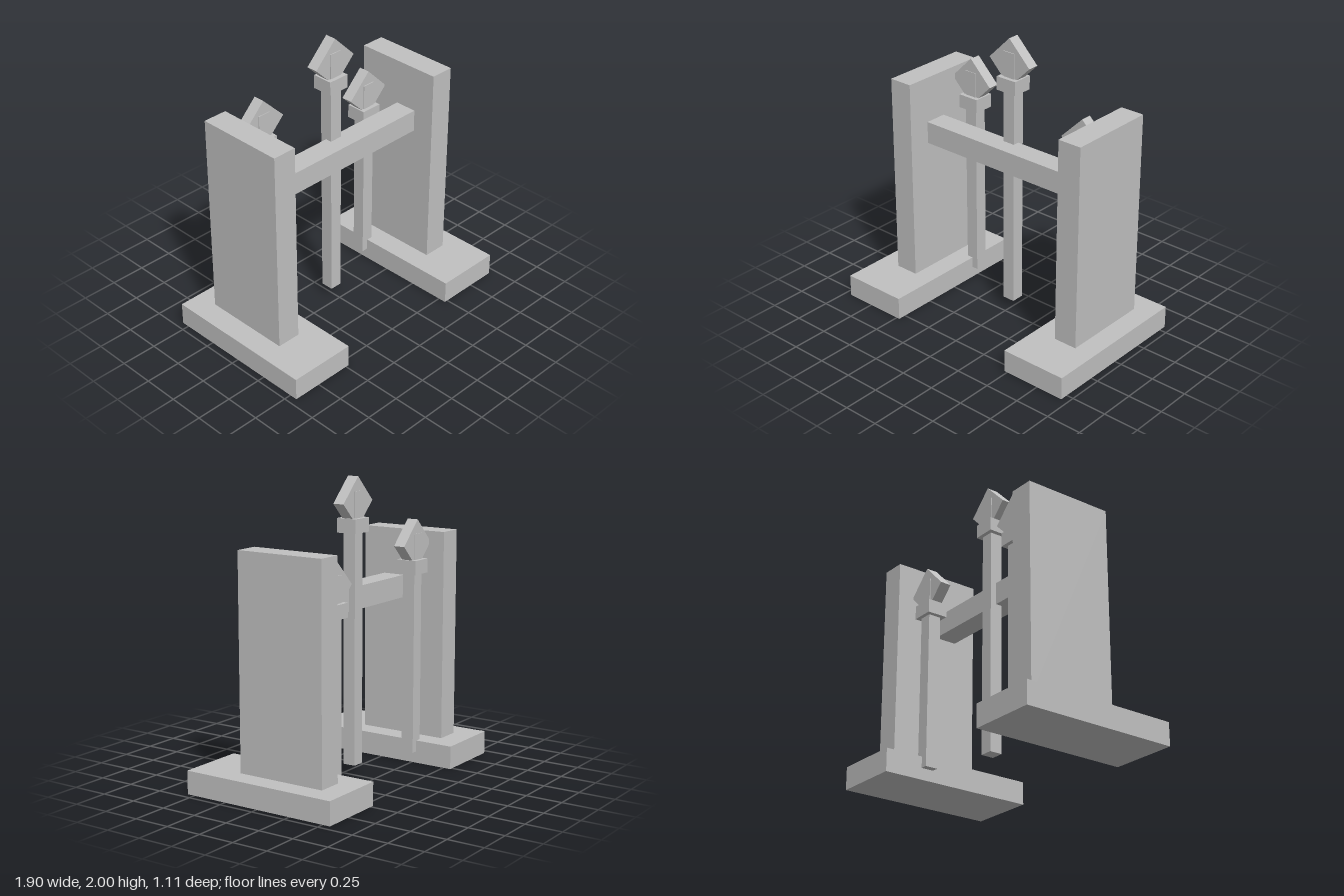
import * as THREE from 'three';

export function createModel() {
  const model = new THREE.Group();
  const grey = new THREE.MeshStandardMaterial({ color: 0xc0c0c0 });
  grey.name = 'plain grey';

  // Box given by its size and centre
  function box(name, parent, [w, h, d], [x, y, z]) {
    const mesh = new THREE.Mesh(new THREE.BoxGeometry(w, h, d), grey);
    mesh.name = name;
    mesh.position.set(x, y, z);
    parent.add(mesh);
    return mesh;
  }

  // Feet and upright slabs
  for (const [side, footX, slabX] of [['left', 0.713, 0.719], ['right', -0.713, -0.708]]) {
    box(side + 'Foot', model, [0.474, 0.158, 1.11], [footX, 0.079, 0]);
    box(side + 'Slab', model, [0.17, 1.44, 0.632], [slabX, 0.87, -0.079]);
  }

  // Bar joining the slabs
  box('crossbar', model, [1.28, 0.155, 0.158], [0.005, 1.193, 0]);

  // Post with a collar and a diamond head; the post top shows through the head
  function post(name, x, z, tipY) {
    const group = new THREE.Group();
    group.name = name;
    group.position.set(x, 0, z);
    const bottom = 0.08, top = tipY - 0.095;
    box('shaft', group, [0.09, top - bottom, 0.09], [0, (top + bottom) / 2, 0]);
    box('collar', group, [0.155, 0.095, 0.145], [0, tipY - 0.317, 0]);
    const head = box('diamondHead', group, [0.236, 0.236, 0.079], [0, tipY - 0.167, 0]);
    head.rotation.z = Math.PI / 4;
    model.add(group);
  }
  post('middlePost', 0, -0.079, 2);
  post('rightPost', -0.476, -0.238, 1.683);
  post('leftPost', 0.474, -0.238, 1.525);

  return model;
}
